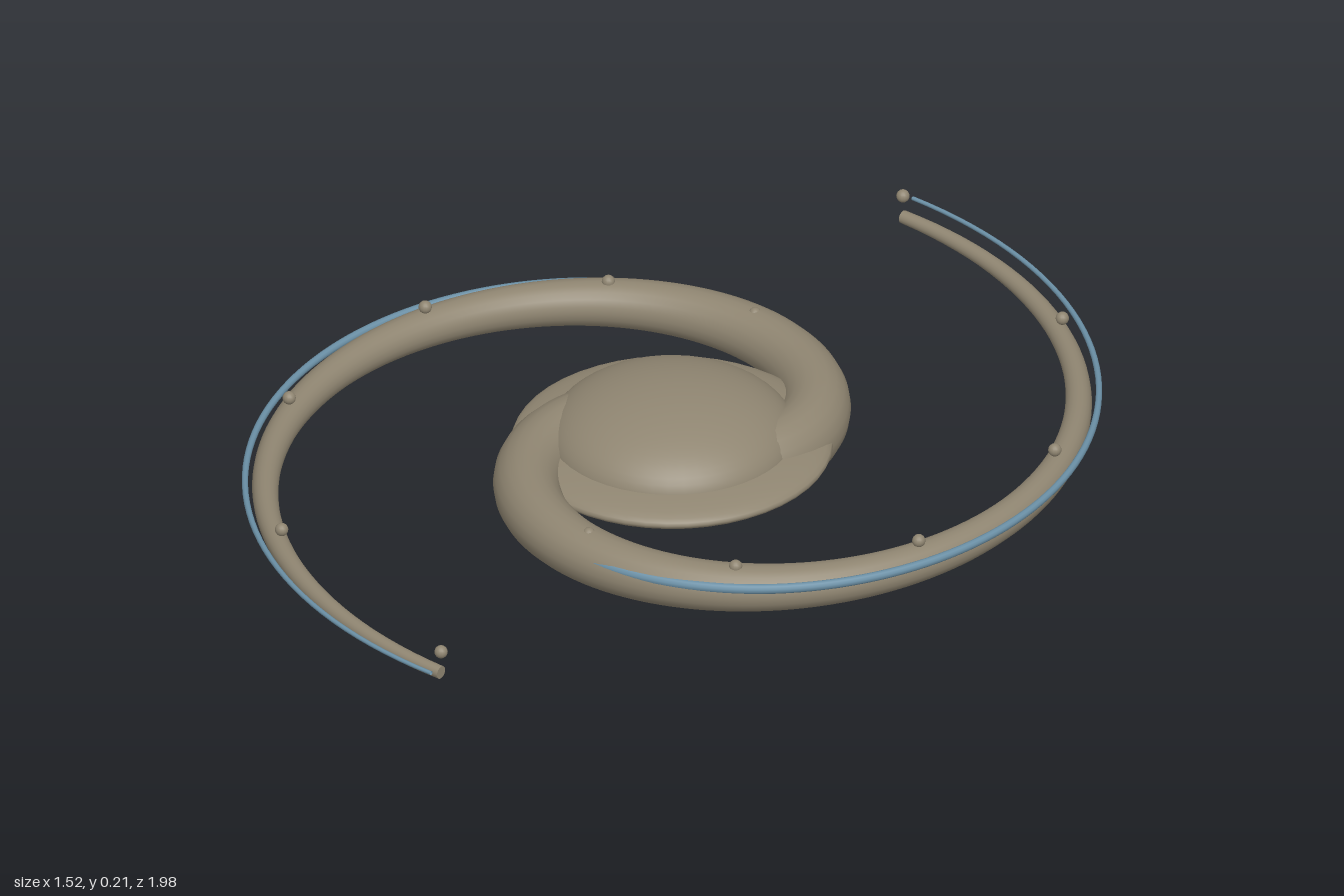
import * as THREE from 'three';

const START = THREE.MathUtils.degToRad(183.6);
const SWEEP = Math.PI * 1.5;

// Spiral whose radius grows evenly with the turn
class Spiral extends THREE.Curve {
  constructor(offset, y) {
    super();
    this.offset = offset;
    this.y = y;
  }
  getPoint(t, target = new THREE.Vector3()) {
    const a = START - SWEEP * t;
    const r = 0.15 + 0.8 * t + this.offset;
    return target.set(r * Math.cos(a), this.y, r * Math.sin(a));
  }
  getPointAt(t, target) { return this.getPoint(t, target); }
  getTangentAt(t, target) { return this.getTangent(t, target); }
}

// Tube along a spiral, thinning evenly from r0 to r1
function taperedTube(curve, r0, r1, steps, sides) {
  const geo = new THREE.TubeGeometry(curve, steps, 1, sides, false);
  const pos = geo.attributes.position;
  const v = new THREE.Vector3();
  const c = new THREE.Vector3();
  for (let i = 0; i < pos.count; i++) {
    const t = Math.floor(i / (sides + 1)) / steps;
    curve.getPoint(t, c);
    v.fromBufferAttribute(pos, i).sub(c).multiplyScalar(r0 + (r1 - r0) * t).add(c);
    pos.setXYZ(i, v.x, v.y, v.z);
  }
  return geo;
}

function add(parent, name, geometry, material) {
  const mesh = new THREE.Mesh(geometry, material);
  mesh.name = name;
  parent.add(mesh);
  return mesh;
}

export function createModel() {
  const stone = new THREE.MeshStandardMaterial({ color: 0x8f8571, side: THREE.DoubleSide });
  stone.name = 'warm grey';
  const blue = new THREE.MeshStandardMaterial({ color: 0x6a8fa5, side: THREE.DoubleSide });
  blue.name = 'dusty blue';

  const model = new THREE.Group();
  model.name = 'spiralGalaxy';

  // Core: a domed bulge on a flat lens-shaped disc
  const bulge = add(model, 'bulge',
    new THREE.SphereGeometry(1, 48, 16, 0, Math.PI * 2, 0, Math.PI / 2), stone);
  bulge.scale.set(0.243, 0.111, 0.243);
  bulge.position.y = 0.097;
  const disc = add(model, 'disc', new THREE.SphereGeometry(1, 48, 24), stone);
  disc.scale.set(0.311, 0.045, 0.311);
  disc.position.y = 0.085;

  // Two identical arms, half a turn apart
  const armPath = new Spiral(0, 0.08);
  const edgePath = new Spiral(0.04, 0.1);
  const armGeo = taperedTube(armPath, 0.08, 0.013, 120, 20);
  const edgeGeo = taperedTube(edgePath, 0.016, 0.004, 120, 10);
  const capGeo = new THREE.CircleGeometry(0.013, 20);
  const starGeo = new THREE.SphereGeometry(0.013, 14, 10);

  for (let k = 0; k < 2; k++) {
    const arm = new THREE.Group();
    arm.name = k ? 'backArm' : 'frontArm';
    arm.rotation.y = k * Math.PI;
    add(arm, 'armTube', armGeo, stone);
    add(arm, 'blueEdge', edgeGeo, blue);

    const cap = add(arm, 'armTip', capGeo, stone);
    cap.position.copy(armPath.getPoint(1));
    cap.quaternion.setFromUnitVectors(new THREE.Vector3(0, 0, 1), armPath.getTangent(1));

    // Small stars hovering over the arm's centre line
    for (let i = 0; i < 6; i++) {
      const star = add(arm, 'star', starGeo, stone);
      star.position.copy(armPath.getPoint(1 - i * 0.1286));
      star.position.y = 0.127;
    }
    model.add(arm);
  }
  return model;
}
